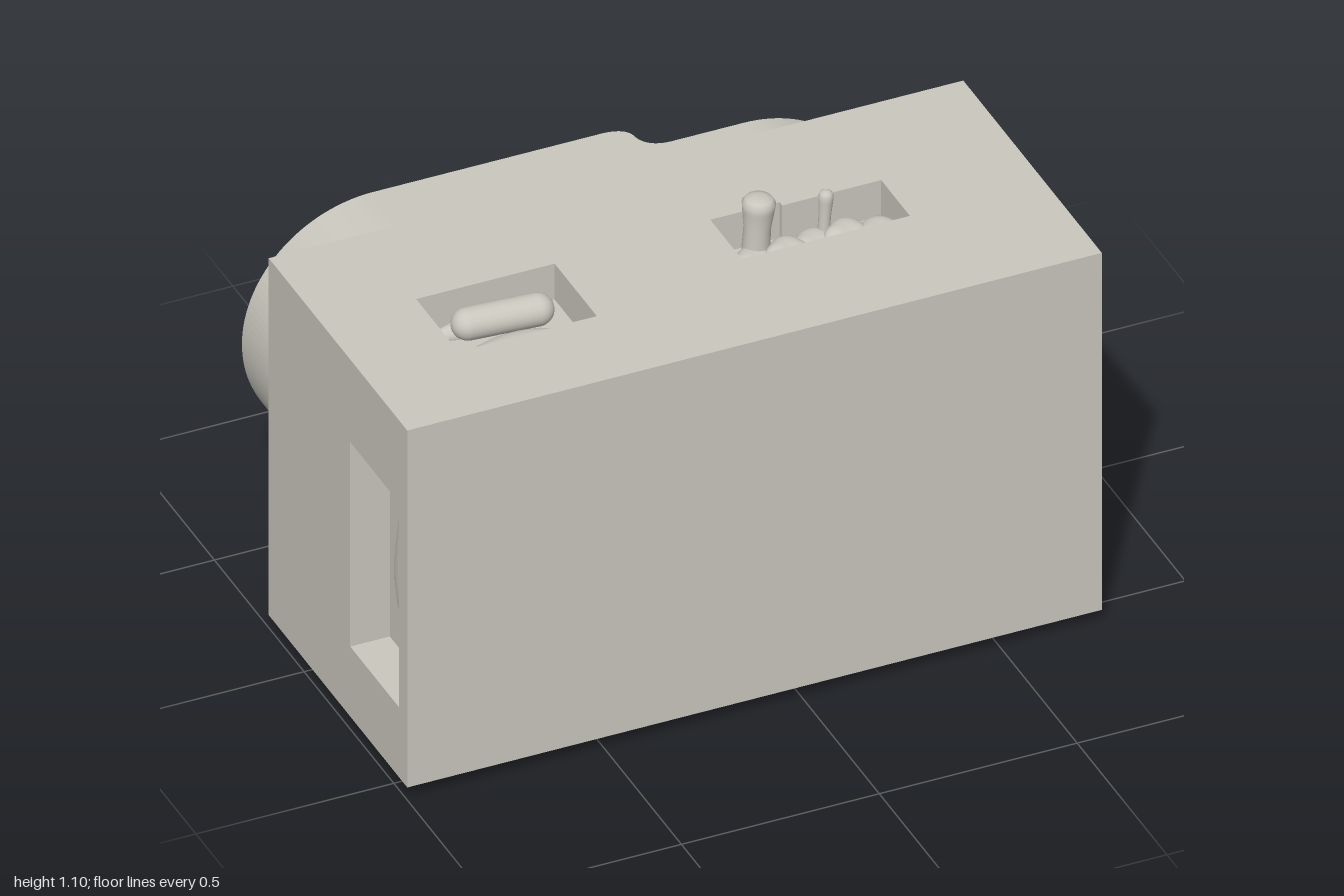
import * as THREE from 'three';

const gray = new THREE.MeshStandardMaterial({ color: 0xc9c7bd, side: THREE.DoubleSide });
gray.name = 'warm gray';

export function createModel() {
  const model = new THREE.Group();
  const add = (name, geometry, x = 0, y = 0, z = 0) => {
    const mesh = new THREE.Mesh(geometry, gray);
    mesh.name = name;
    mesh.position.set(x, y, z);
    model.add(mesh);
    return mesh;
  };
  const polygon = (points) => new THREE.Shape(points.map(([x, y]) => new THREE.Vector2(x, y)));
  const rect = (x0, y0, x1, y1) => polygon([[x0, y0], [x1, y0], [x1, y1], [x0, y1]]);
  const circle = (x, y, r) => new THREE.Shape().absarc(x, y, r, 0, Math.PI * 2);
  const extrude = (shape, depth, holes = []) => {
    shape.holes.push(...holes);
    return new THREE.ExtrudeGeometry(shape, { depth, bevelEnabled: false, curveSegments: 32 });
  };
  // Rounded, slightly uneven lump
  const lump = (name, [x, y, z], [rx, ry, rz], wobble = 0.08) => {
    const g = new THREE.SphereGeometry(1, 28, 18);
    const p = g.attributes.position;
    const v = new THREE.Vector3();
    for (let i = 0; i < p.count; i++) {
      v.fromBufferAttribute(p, i);
      const s = 1 + wobble * Math.sin(3 * v.x + 1) * Math.cos(2.5 * v.y + 2 * v.z);
      p.setXYZ(i, v.x * s * rx, v.y * s * ry, v.z * s * rz);
    }
    g.computeVertexNormals();
    return add(name, g, x, y, z);
  };

  // Body: core block plus slabs that carry the recesses
  const depth = 0.1;
  add('bodyCore', new THREE.BoxGeometry(1.655, 0.895, 0.772), -0.0725, 0.4825, 0.189);
  const top = extrude(rect(-1, -0.197, 0.755, 0.575), depth, [
    rect(-0.76, 0.095, -0.41, 0.33),
    polygon([[-0.01, 0.08], [0.165, 0.08], [0.165, 0.095], [0.415, 0.095], [0.415, 0.255], [-0.01, 0.255]]),
  ]);
  add('bodyTop', top.rotateX(Math.PI / 2), 0, 1.03, 0);
  const side = extrude(rect(-0.197, 0.035, 0.575, 0.93), depth, [rect(0.257, 0.23, 0.53, 0.8)]);
  add('bodySide', side.rotateY(-Math.PI / 2), -0.9, 0, 0);

  // Round knob on the left side
  add('sideKnob', extrude(circle(0.818, 0.217, 0.182), 0.226), 0, 0, -0.19);

  // Back plate with rounded ends, thicker on one half
  const cy = 0.548, r = 0.331, xr = 0.314, xl = -0.579;
  const base = new THREE.Shape();
  base.absarc(xr, cy, r, -Math.PI / 2, Math.PI / 2);
  base.absarc(xl, cy, r, Math.PI / 2, Math.PI * 1.5);
  add('backPlate', extrude(base, 0.253, [circle(-0.575, 0.55, 0.155), circle(0.447, 0.585, 0.13)]), 0, 0, -0.45);
  const raised = new THREE.Shape();
  raised.moveTo(0, cy - r);
  raised.lineTo(0, cy + r);
  raised.absarc(xl, cy, r, Math.PI / 2, Math.PI * 1.5);
  add('raisedPlate', extrude(raised, 0.095, [circle(-0.575, 0.55, 0.155)]), 0, 0, -0.545);
  const step = new THREE.Shape();
  step.moveTo(0, -0.45);
  step.lineTo(0, -0.545);
  step.quadraticCurveTo(0.062, -0.543, 0.064, -0.498);
  step.quadraticCurveTo(0.075, -0.45, 0.135, -0.45);
  add('plateStep', extrude(step, 2 * r).rotateX(Math.PI / 2), 0, cy + r, 0);

  // Countersunk socket and the two button lumps
  const socket = new THREE.LatheGeometry([[0.13, 0], [0.088, 0.06], [0.088, 0.14], [0, 0.14]]
    .map(([x, y]) => new THREE.Vector2(x, y)), 32).toNonIndexed();
  socket.computeVertexNormals();
  add('socket', socket.rotateX(Math.PI / 2), 0.447, 0.585, -0.45);
  lump('smallButton', [0.455, 0.582, -0.415], [0.07, 0.062, 0.066]);
  lump('largeButton', [-0.605, 0.525, -0.5], [0.127, 0.147, 0.07]).rotation.x = 0.12;

  // Lumps inside the first top recess
  const bar = new THREE.CapsuleGeometry(0.04, 0.17, 8, 20).rotateZ(Math.PI / 2);
  add('recessBar', bar, -0.575, 0.975, 0.168).rotation.y = -0.08;
  lump('recessCushion', [-0.59, 0.94, 0.27], [0.16, 0.04, 0.055]);
  lump('recessBack', [-0.585, 0.93, 0.125], [0.165, 0.035, 0.035]);

  // Pegs and wavy ridge inside the second top recess
  const peg = (name, x, z, h, rad) => {
    const pts = [[0.85, 0], [0.8, 0.5], [0.95, 0.8], [1, 0.9], [0.8, 0.97], [0.4, 1], [0, 1]]
      .map(([a, b]) => new THREE.Vector2(a * rad, b * h));
    add(name, new THREE.LatheGeometry(pts, 24), x, 0.93, z).rotation.z = -0.06;
  };
  peg('largePeg', 0.08, 0.132, 0.17, 0.04);
  peg('smallPeg', 0.25, 0.135, 0.14, 0.018);
  for (let i = 0; i < 5; i++) {
    lump('recessRidge', [0.06 + i * 0.077, 0.94, 0.165 + 0.01 * Math.sin(i * 2)],
      [0.065, 0.035 + 0.012 * (i % 2), 0.045], 0.15);
  }
  lump('recessFloor', [0.2, 0.93, 0.215], [0.21, 0.018, 0.04], 0.2);

  // Bar inside the side recess
  lump('sideRecessBar', [-0.9, 0.52, 0.385], [0.04, 0.19, 0.055]);

  // Small uneven ridge under the body
  [[0.45, 0.035, 0.034], [0.35, 0.045, 0.024], [0.22, 0.04, 0.01]].forEach(([z, len, h], i) => {
    const tip = new THREE.ConeGeometry(1, 1, 10).rotateX(Math.PI).translate(0, -0.5, 0);
    tip.scale(0.012, h + 0.001, len);
    add('bottomRidge', tip, -0.11 - i * 0.012, 0.035, z);
  });

  return model;
}
